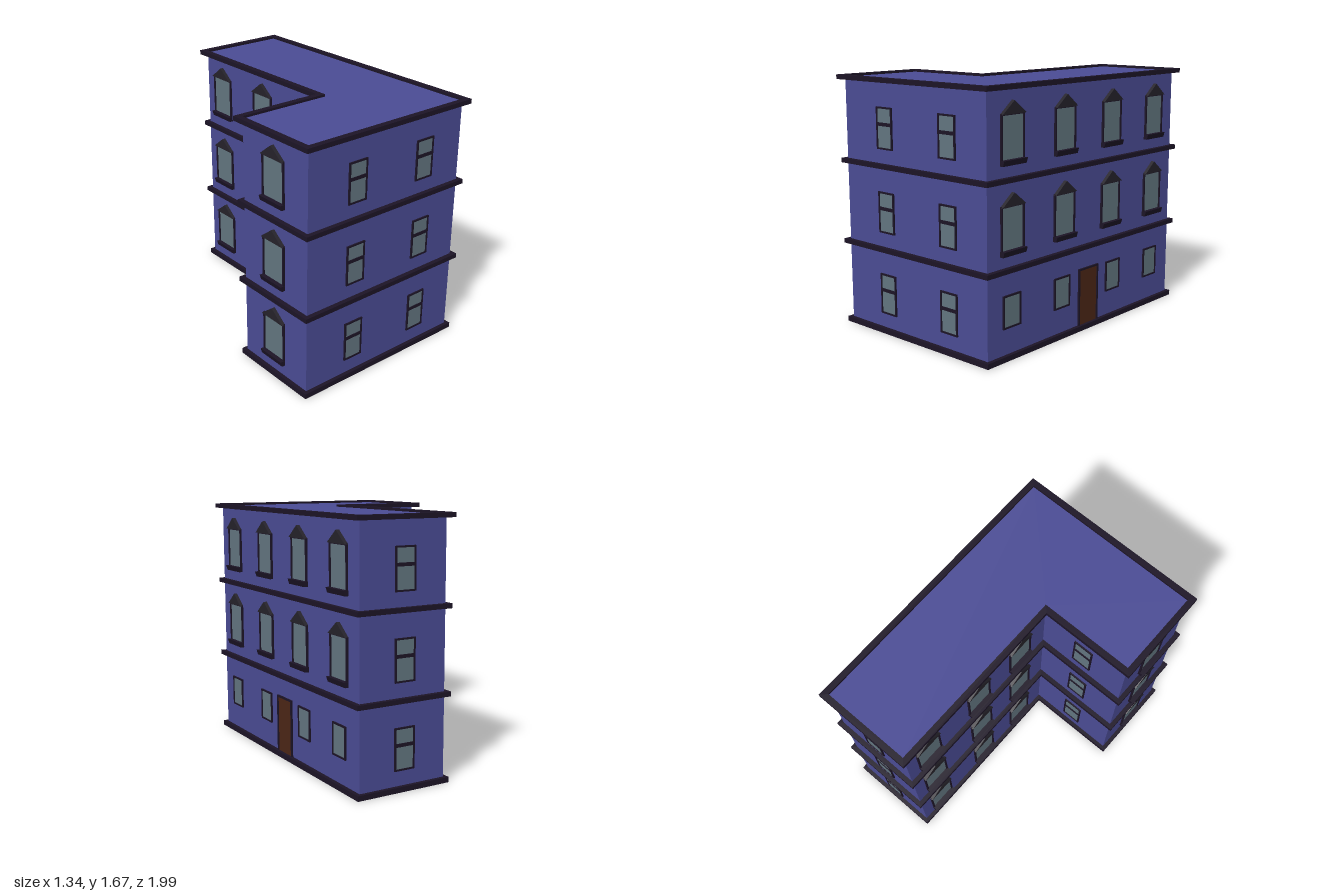
import * as THREE from 'three';

const mat = (color) => new THREE.MeshStandardMaterial({ color, side: THREE.DoubleSide });
const WALL = mat(0x4a4b94), TRIM = mat(0x1c1426), GLASS = mat(0x62757f);
const GABLE = mat(0x25222a), DOOR = mat(0x4c2616);

// L-shaped plan, grown outward by o; plan y becomes -z once laid flat
const plan = (o) => [
  [-0.63 - o, 0.955 + o], [0.63 + o, 0.955 + o], [0.63 + o, -0.955 - o],
  [0.02 - o, -0.955 - o], [0.02 - o, 0.35 - o], [-0.63 - o, 0.35 - o],
].map(([x, z]) => new THREE.Vector2(x, -z));

const poly = (pts) => new THREE.Shape(pts.map(([x, y]) => new THREE.Vector2(x, y)));
const rect = (w, y0, y1) => [[-w / 2, y0], [w / 2, y0], [w / 2, y1], [-w / 2, y1]];

function add(parent, name, geometry, material) {
  const m = new THREE.Mesh(geometry, material);
  m.name = name;
  parent.add(m);
  return m;
}

const extrude = (shape, depth) => new THREE.ExtrudeGeometry(shape, { depth, bevelEnabled: false });

// Horizontal moulding that runs round the whole plan
function band(parent, name, y0, y1, out) {
  const shape = new THREE.Shape(plan(out));
  shape.holes.push(new THREE.Path(plan(0)));
  const m = add(parent, name, extrude(shape, y1 - y0), TRIM);
  m.rotation.x = -Math.PI / 2;
  m.position.y = y0;
}

// Rectangular frame around a filled panel, standing out from the wall (+z)
function framed(group, w, y0, y1, t, depth, fill, fillName) {
  const shape = poly(rect(w, y0, y1));
  shape.holes.push(poly(rect(w - 2 * t, y0 + t, y1 - t)));
  add(group, 'frame', extrude(shape, depth), TRIM);
  const panel = add(group, fillName, new THREE.PlaneGeometry(w - 2 * t, y1 - y0 - 2 * t), fill);
  panel.position.set(0, (y0 + y1) / 2, 0.005);
}

// Two-pane window with a middle bar
function sashWindow(y) {
  const g = new THREE.Group();
  g.name = 'sashWindow';
  framed(g, 0.145, y + 0.13, y + 0.4, 0.011, 0.01, GLASS, 'glass');
  add(g, 'middleBar', new THREE.BoxGeometry(0.13, 0.022, 0.01), TRIM).position.set(0, y + 0.29, 0.005);
  return g;
}

// Tall window with a triangular hood and a tapered sill
function gableWindow(y) {
  const g = new THREE.Group();
  g.name = 'gableWindow';
  framed(g, 0.204, y + 0.13, y + 0.42, 0.011, 0.013, GLASS, 'glass');
  add(g, 'hood', extrude(poly([[-0.104, y + 0.415], [0.104, y + 0.415], [0, y + 0.495]]), 0.024), GABLE);
  const sill = add(g, 'sill', extrude(poly([[0, 0], [-0.025, 0], [-0.035, 0.034], [0, 0.034]]), 0.208), TRIM);
  sill.rotation.y = Math.PI / 2;
  sill.position.set(-0.104, y + 0.115, 0);
  return g;
}

function smallWindow() {
  const g = new THREE.Group();
  g.name = 'smallWindow';
  framed(g, 0.158, 0.2, 0.41, 0.011, 0.01, GLASS, 'glass');
  return g;
}

function frontDoor() {
  const g = new THREE.Group();
  g.name = 'door';
  framed(g, 0.205, 0.02, 0.42, 0.012, 0.012, DOOR, 'doorPanel');
  return g;
}

export function createModel() {
  const model = new THREE.Group();
  model.name = 'building';

  // Walls, open underneath
  const corners = plan(0);
  corners.forEach((a, i) => {
    const b = corners[(i + 1) % corners.length];
    const wall = add(model, 'wall', new THREE.PlaneGeometry(a.distanceTo(b), 1.66), WALL);
    wall.position.set((a.x + b.x) / 2, 0.83, -(a.y + b.y) / 2);
    wall.rotation.y = Math.atan2(b.y - a.y, b.x - a.x);
  });

  // Flat roof
  const roof = add(model, 'roof', new THREE.ShapeGeometry(new THREE.Shape(corners)), WALL);
  roof.rotation.x = -Math.PI / 2;
  roof.position.y = 1.66;

  // Mouldings
  band(model, 'baseMoulding', 0, 0.034, 0.026);
  band(model, 'lowerMoulding', 0.551, 0.581, 0.031);
  band(model, 'upperMoulding', 1.098, 1.128, 0.031);
  band(model, 'roofEdge', 1.645, 1.675, 0.041);

  const place = (part, x, z, turn) => {
    part.position.set(x, 0, z);
    part.rotation.y = turn * Math.PI / 2;
    model.add(part);
  };

  // Windows on each floor
  const rightZ = [0.74, 0.25, -0.237, -0.73];
  for (let floor = 0; floor < 3; floor++) {
    const y = floor * 0.545;
    for (const x of [-0.25, 0.31]) place(sashWindow(y), x, 0.955, 0);
    place(sashWindow(y), 0.315, -0.955, 2);
    place(sashWindow(y), -0.305, 0.35, 2);
    for (const z of [-0.77, -0.3, 0.1]) place(gableWindow(y), 0.02, z, -1);
    place(gableWindow(y), -0.63, 0.645, -1);
    if (floor > 0) for (const z of rightZ) place(gableWindow(y - 0.005), 0.63, z, 1);
  }

  // Entrance side at ground level
  for (const z of [0.745, 0.265, -0.28, -0.727]) place(smallWindow(), 0.63, z, 1);
  place(frontDoor(), 0.63, -0.008, 1);

  return model;
}
